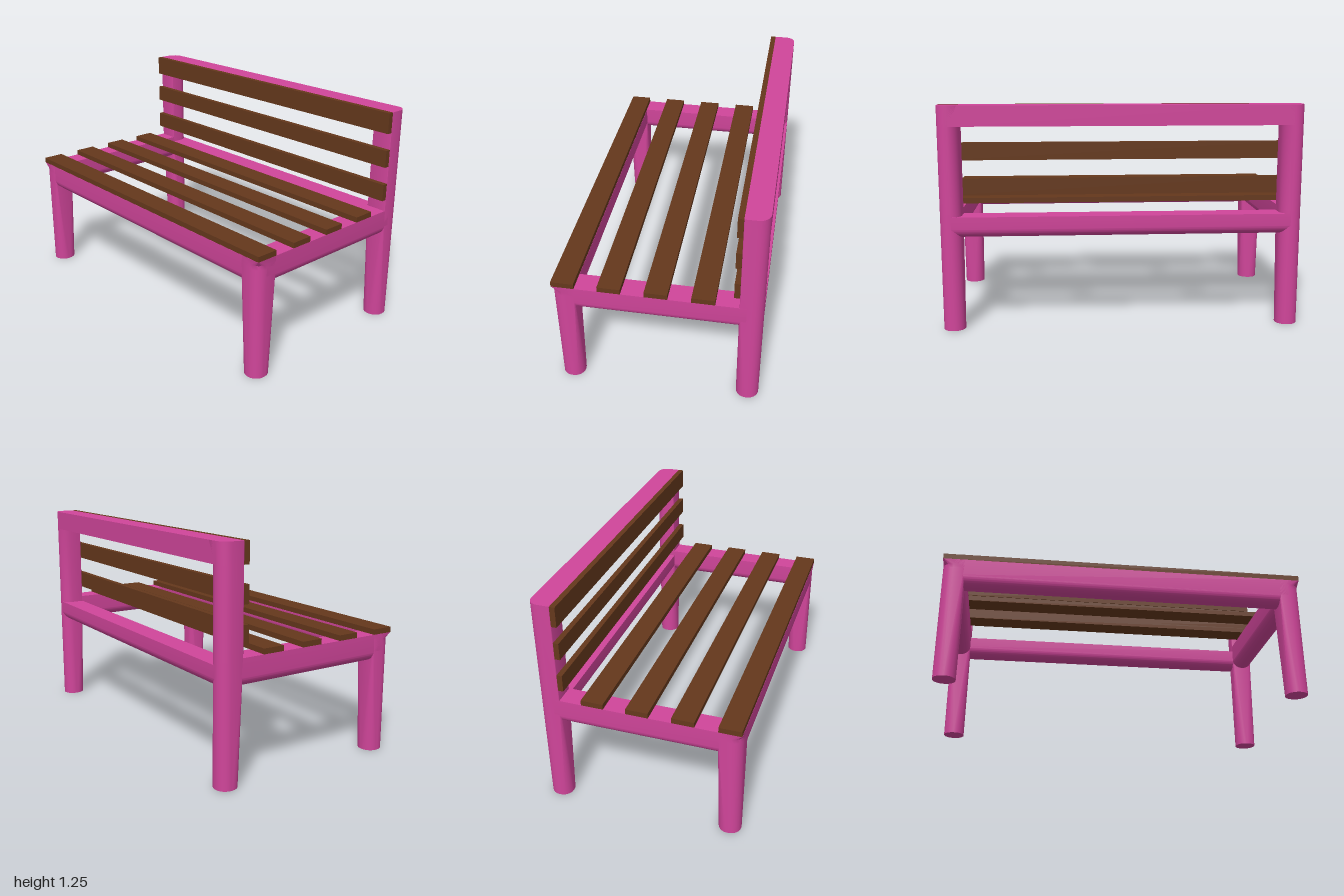
import * as THREE from 'three';
import { toCreasedNormals } from 'three/addons/utils/BufferGeometryUtils.js';

const framePaint = new THREE.MeshStandardMaterial({ color: 0xd0459a });
const wood = new THREE.MeshStandardMaterial({ color: 0x65381c });

const ROUND = 0.058, SHARP = 0.004;
const HX = 0.0625, HZ = 0.06; // half thickness of the posts
const CORNERS = [[1, 1], [-1, 1], [-1, -1], [1, -1]];

// Vertical post lofted through levels [y, radius(sx, sz)], each a rectangle with its own corner radii
function postGeometry(levels, steps = 6) {
  const pos = [], idx = [];
  for (const [y, radius] of levels) {
    CORNERS.forEach(([sx, sz], c) => {
      const r = radius(sx, sz);
      for (let k = 0; k <= steps; k++) {
        const a = (c + k / steps) * Math.PI / 2;
        pos.push(sx * (HX - r) + r * Math.cos(a), y, sz * (HZ - r) + r * Math.sin(a));
      }
    });
  }
  const n = 4 * (steps + 1), last = (levels.length - 1) * n;
  const bottom = pos.length / 3, top = bottom + 1;
  pos.push(0, levels[0][0], 0, 0, levels[levels.length - 1][0], 0);
  for (let i = 0; i < n; i++) {
    const j = (i + 1) % n;
    for (let l = 0; l < last; l += n) {
      idx.push(l + i, l + n + i, l + n + j, l + i, l + n + j, l + j);
    }
    idx.push(bottom, i, j, top, last + j, last + i);
  }
  const g = new THREE.BufferGeometry();
  g.setAttribute('position', new THREE.Float32BufferAttribute(pos, 3));
  g.setIndex(idx);
  return toCreasedNormals(g, 0.6);
}

// Horizontal rail along z with a flat top and a rounded underside
function railGeometry(length, width, y0, y1, r = 0.055) {
  const h = width / 2, s = new THREE.Shape();
  s.moveTo(h, y1);
  s.lineTo(-h, y1);
  s.lineTo(-h, y0 + r);
  s.absarc(-h + r, y0 + r, r, Math.PI, 1.5 * Math.PI, false);
  s.lineTo(h - r, y0);
  s.absarc(h - r, y0 + r, r, 1.5 * Math.PI, 2 * Math.PI, false);
  const g = new THREE.ExtrudeGeometry(s, { depth: length, bevelEnabled: false, curveSegments: 8 });
  g.translate(0, 0, -length / 2);
  return toCreasedNormals(g, 0.6);
}

export function createModel() {
  const bench = new THREE.Group();
  bench.name = 'bench';

  const add = (name, geometry, material, x = 0, y = 0, z = 0) => {
    const mesh = new THREE.Mesh(geometry, material);
    mesh.name = name;
    mesh.position.set(x, y, z);
    bench.add(mesh);
    return mesh;
  };

  const allRound = () => ROUND;

  for (const side of [1, -1]) {
    const end = side > 0 ? 'Left' : 'Right';

    // Short legs: round foot, squaring off where they meet the rails
    const outer = (sx, sz) => (sx < 0 && sz === side ? ROUND : SHARP);
    add('shortLeg' + end, postGeometry([
      [0, allRound], [0.62, outer], [0.645, outer], [0.675, () => SHARP],
    ]), framePaint, -0.4975, 0, side * (1 - HZ));

    // Tall posts: round foot, rounded on the outside up to the top rail
    const rearRound = (sx) => (sx > 0 ? ROUND : SHARP);
    const rearCorner = (sx, sz) => (sx > 0 && sz === side ? ROUND : SHARP);
    add('tallPost' + end, postGeometry([
      [0, allRound], [0.66, rearRound], [1.13, rearRound], [1.245, rearCorner],
    ]), framePaint, 0.4945, 0, side * (1 - HZ));

    // Side rails under the seat
    add('sideRail' + end, railGeometry(0.97, 0.12, 0.525, 0.675), framePaint,
      -0.015, 0, side * (1 - HZ)).rotation.y = Math.PI / 2;
  }

  // Long seat rails and the top rail of the backrest
  add('seatFrontRail', railGeometry(1.87, 0.125, 0.525, 0.675), framePaint, -0.4975);
  add('seatBackRail', railGeometry(1.87, 0.125, 0.525, 0.642), framePaint, 0.4945);
  add('topRail', new THREE.BoxGeometry(0.125, 0.112, 1.87), framePaint, 0.4945, 1.189);

  // Seat slats
  for (let i = 0; i < 4; i++) {
    add('seatSlat' + (i + 1), new THREE.BoxGeometry(0.123, 0.03, 2), wood, -0.4975 + i * 0.248, 0.69);
  }

  // Backrest slats
  [[0.742, 0.838], [0.938, 1.035], [1.13, 1.245]].forEach(([y0, y1], i) => {
    add('backSlat' + (i + 1), new THREE.BoxGeometry(0.03, y1 - y0, 2), wood, 0.417, (y0 + y1) / 2);
  });

  return bench;
}
